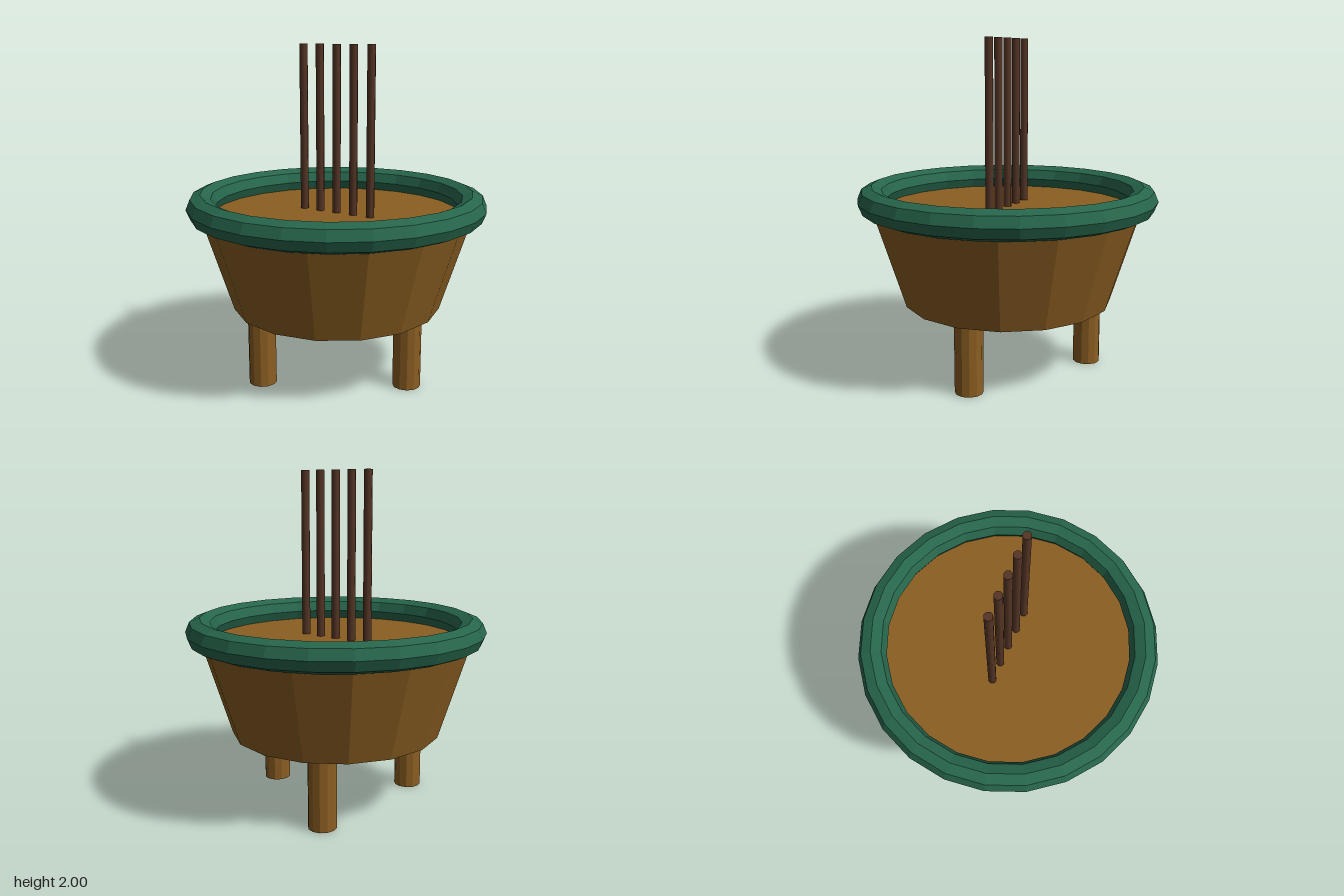
import * as THREE from 'three';

const flat = (name, color) => {
  const m = new THREE.MeshStandardMaterial({ color });
  m.name = name;
  return m;
};

export function createModel() {
  const wood = flat('warm wood', 0x8b5e22);
  const green = flat('deep green', 0x27664c);
  const dark = flat('dark brown', 0x553525);
  wood.flatShading = green.flatShading = true;

  // smooth-sided material users share the colours; the bowl and rim are faceted
  const model = new THREE.Group();
  model.name = 'bowlOnLegs';
  const add = (name, geometry, material, x, y, z) => {
    const mesh = new THREE.Mesh(geometry, material);
    mesh.name = name;
    mesh.position.set(x, y, z);
    model.add(mesh);
  };

  // Tapered bowl; its top cap is the filling inside the rim
  const bottom = 0.425, top = 1.0;
  add('bowl', new THREE.CylinderGeometry(0.815, 0.633, top - bottom, 16), wood, 0, (top + bottom) / 2, 0);

  // Thick faceted rim
  const rim = new THREE.TorusGeometry(0.815, 0.085, 8, 24).rotateX(Math.PI / 2);
  add('rim', rim, green, 0, 1.055, 0);

  // Three legs, one on the left and two on the right
  const leg = new THREE.CylinderGeometry(0.083, 0.083, bottom, 12);
  for (let i = 0; i < 3; i++) {
    const a = (i / 3) * Math.PI * 2;
    add(`leg${i + 1}`, leg, wood, Math.cos(a) * 0.5, bottom / 2, Math.sin(a) * 0.5);
  }

  // Row of thin upright rods
  const rod = new THREE.CylinderGeometry(0.025, 0.025, 2 - top, 8);
  for (let i = -2; i <= 2; i++) add(`rod${i + 3}`, rod, dark, i * 0.118, (2 + top) / 2, 0);

  return model;
}
